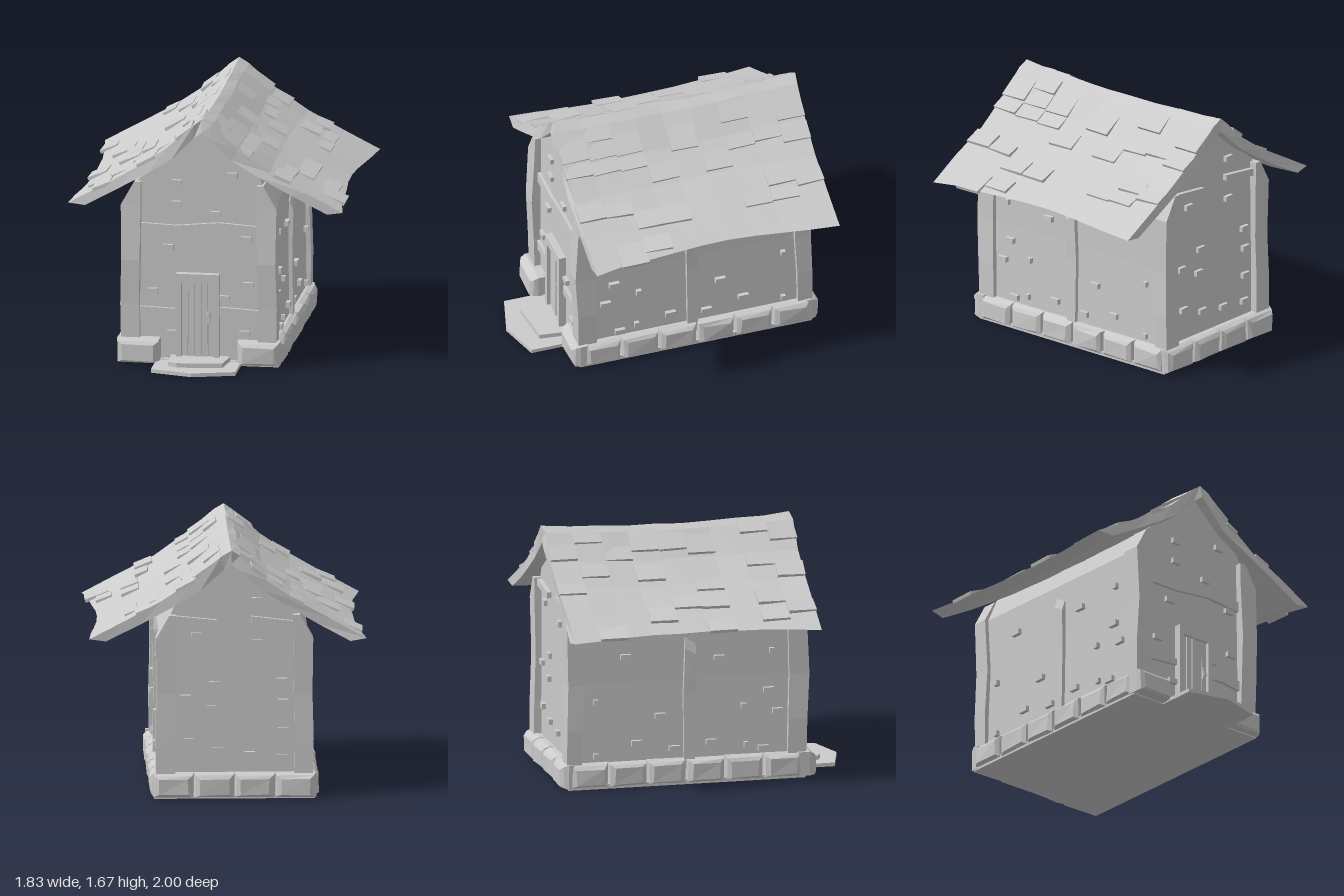
import * as THREE from 'three';

const mat = new THREE.MeshStandardMaterial({ color: 0xcccccc, flatShading: true });

let seed = 7;
const jit = (a) => {
  seed = (seed * 16807) % 2147483647;
  return (seed / 2147483647 - 0.5) * 2 * a;
};

function add(parent, name, geo) {
  const m = new THREE.Mesh(geo, mat);
  m.name = name;
  parent.add(m);
  return m;
}

// Skins a list of equal rings ([x, y, z] points, counter-clockwise seen from the far end) and caps both ends
function loft(rings) {
  const v = [];
  const quad = (a, b, c, d) => v.push(...a, ...b, ...c, ...a, ...c, ...d);
  const n = rings[0].length;
  for (let k = 0; k < rings.length - 1; k++) {
    const a = rings[k], b = rings[k + 1];
    for (let i = 0; i < n; i++) {
      const j = (i + 1) % n;
      quad(a[i], a[j], b[j], b[i]);
    }
  }
  const f = rings[0], l = rings[rings.length - 1];
  for (let i = 0; i < n / 2 - 1; i++) {
    quad(l[i], l[i + 1], l[n - 2 - i], l[n - 1 - i]);
    quad(f[n - 1 - i], f[n - 2 - i], f[i + 1], f[i]);
  }
  const g = new THREE.BufferGeometry();
  g.setAttribute('position', new THREE.Float32BufferAttribute(v, 3));
  g.computeVertexNormals();
  return g;
}

// Horizontal ring for things lofted upwards
const flatRing = (xa, xb, za, zb, y) => {
  const x0 = Math.min(xa, xb), x1 = Math.max(xa, xb);
  const z0 = Math.min(za, zb), z1 = Math.max(za, zb);
  return [[x0, y, z1], [x1, y, z1], [x1, y, z0], [x0, y, z0]];
};

function box(parent, name, w, h, d, x, y, z) {
  const m = add(parent, name, new THREE.BoxGeometry(w, h, d));
  m.position.set(x, y, z);
  return m;
}

// Beam along x from a list of [x, bottom, top]
const beam = (pts, z0, z1) =>
  loft(pts.map(([x, b, t]) => [[x, b, z1], [x, b, z0], [x, t, z0], [x, t, z1]]));

// Polygon in plan [x, z], raised from y0 by h
function slab(pts, y0, h) {
  const g = new THREE.ExtrudeGeometry(
    new THREE.Shape(pts.map(([x, z]) => new THREE.Vector2(x, -z))), { depth: h, bevelEnabled: false });
  return g.rotateX(-Math.PI / 2).translate(0, y0, 0);
}

// Rough block with a bevelled outer face, facing +z
function stoneGeometry(w, depth) {
  const ring = (ix, iy, z, j) => [[-1, 0], [1, 0], [1, 1], [-1, 1]].map(([sx, t]) => [
    sx * (w / 2 - ix) + jit(j), (t ? 0.172 - iy : 0.01 + iy * 0.6) + jit(j), z + jit(j)]);
  return loft([ring(0.002, 0, 0, 0), ring(0.002, 0, depth - 0.05, 0.003),
    ring(0.012, 0.012, depth - 0.018, 0.004), ring(0.04, 0.035, depth, 0.005)]);
}

// Roof half profile: distance from ridge and height, outside and underside
const outD = [0, 0.06, 0.24, 0.45, 0.68, 0.91], outY = [1.665, 1.63, 1.468, 1.325, 1.197, 1.075];
const inD = [0, 0.05, 0.2, 0.36, 0.58, 0.8], inY = [1.58, 1.535, 1.4, 1.3, 1.174, 1.06];
const Z0 = -0.985, Z1 = 0.695, RIDGE = -0.03;
const bow = (z) => 1 - Math.pow((z - (Z0 + Z1) / 2) / 0.84, 2);
function roofPoint(s, d, y, z) {
  const k = d / 0.91;
  const span = (s > 0 ? 0.945 : 0.885) / 0.91;
  return [RIDGE + s * d * span * (1 - 0.08 * bow(z)), y - bow(z) * (0.033 * (1 - k) - 0.015 * k), z];
}
function roofHeight(x, z) {
  const s = x > RIDGE ? 1 : -1;
  for (let i = 0; i < 5; i++) {
    const a = roofPoint(s, outD[i], outY[i], z), b = roofPoint(s, outD[i + 1], outY[i + 1], z);
    if (Math.abs(x - RIDGE) <= Math.abs(b[0] - RIDGE) || i === 4)
      return a[1] + (b[1] - a[1]) * (x - a[0]) / (b[0] - a[0]);
  }
}

function buildRoof(parent) {
  const rows = [];
  for (let r = 0; r <= 9; r++) {
    const z = Z0 + (Z1 - Z0) * r / 9;
    const ring = [];
    const put = (s, D, Y, i) => {
      const p = roofPoint(s, D[i], Y[i], z);
      ring.push([p[0] + jit(i ? 0.008 : 0.004), p[1] + jit(0.004), z + (r % 9 ? 0 : jit(0.012))]);
    };
    for (let i = 5; i >= 0; i--) put(1, outD, outY, i);
    for (let i = 1; i <= 5; i++) put(-1, outD, outY, i);
    for (let i = 5; i >= 0; i--) put(-1, inD, inY, i);
    for (let i = 1; i <= 5; i++) put(1, inD, inY, i);
    rows.push(ring);
  }
  add(parent, 'roof', loft(rows));

  // Raised shingles: for each row, pairs of x limits
  const shingles = [
    [-0.5, -0.42, -0.25, -0.16, 0.04, 0.2, 0.22, 0.33, 0.5, 0.6],
    [-0.89, -0.78, -0.37, -0.28, -0.15, -0.05, 0.2, 0.28, 0.44, 0.56, 0.58, 0.66],
    [-0.25, -0.17, 0.04, 0.14, 0.22, 0.29, 0.58, 0.66],
    [-0.75, -0.62, -0.4, -0.28, -0.2, -0.07, 0.27, 0.385],
    [-0.64, -0.53, -0.2, -0.07, 0.1, 0.23],
    [-0.86, -0.74, -0.65, -0.52, -0.5, -0.42, -0.23, -0.12, 0.28, 0.385, 0.55, 0.66],
    [0.09, 0.2, 0.21, 0.29, 0.55, 0.66, 0.72, 0.82],
    [-0.8, -0.67, -0.65, -0.52, -0.35, -0.25, -0.14, -0.04, 0.03, 0.11, 0.12, 0.2, 0.21, 0.29, 0.48, 0.56, 0.74, 0.89],
    [-0.75, -0.64, -0.45, -0.34, -0.2, -0.1, 0.08, 0.2, 0.21, 0.29, 0.45, 0.56],
  ];
  shingles.forEach((row, r) => {
    const z = Z0 + (Z1 - Z0) * (r + 0.5) / 9;
    for (let i = 0; i < row.length; i += 2) {
      const xa = row[i], xb = row[i + 1];
      const ya = roofHeight(xa, z), yb = roofHeight(xb, z);
      const m = box(parent, 'shingle', Math.hypot(xb - xa, yb - ya), 0.022, 0.185,
        (xa + xb) / 2, (ya + yb) / 2 + 0.001, z);
      // lower end kicks up a little
      m.rotation.set(jit(0.025), jit(0.06), Math.atan2(yb - ya, xb - xa) + (xa > RIDGE ? 0.1 : -0.1));
    }
  });
}

function buildDoor(parent) {
  const door = new THREE.Group();
  door.name = 'door';
  parent.add(door);
  for (const x of [-0.132, 0.118]) box(door, 'doorJamb', 0.036, 0.56, 0.1, x, 0.335, 0.63);
  box(door, 'doorLintel', 0.286, 0.06, 0.1, -0.007, 0.585, 0.63);
  for (let i = 0; i < 5; i++)
    box(door, 'doorPlank', 0.04, 0.5, 0.04, -0.094 + i * 0.044, 0.305, 0.635 + jit(0.008)).rotation.z = jit(0.006);
  box(door, 'handlePlate', 0.018, 0.09, 0.012, 0.068, 0.325, 0.665);
  box(door, 'handle', 0.016, 0.05, 0.016, 0.066, 0.33, 0.678).rotation.z = 0.3;
}

export function createModel() {
  const root = new THREE.Group();
  root.name = 'cottage';
  buildRoof(root);

  const house = new THREE.Group();
  house.name = 'house';
  house.position.x = -0.05;
  root.add(house);

  // Gabled walls, leaning inwards under the eaves
  const gable = [[-0.49, 0.02], [0.49, 0.02], [0.484, 0.7], [0.49, 1.07], [0.42, 1.22], [0.39, 1.295], [0.23, 1.4],
    [0.02, 1.585], [-0.17, 1.41], [-0.32, 1.315], [-0.42, 1.22], [-0.49, 1.07], [-0.484, 0.7]];
  add(house, 'walls', new THREE.ExtrudeGeometry(
    new THREE.Shape(gable.map(([x, y]) => new THREE.Vector2(x, y))),
    { depth: 1.53, bevelEnabled: false }).translate(0, 0, -0.9));

  // Floor and entrance steps
  box(house, 'floor', 1.06, 0.03, 1.6, 0, 0.015, -0.14);
  add(house, 'lowerStep', slab([[-0.28, 0.6], [-0.28, 0.92], [0, 1], [0.28, 0.92], [0.28, 0.6]], 0, 0.025));
  add(house, 'upperStep', slab([[-0.19, 0.6], [-0.18, 0.83], [-0.12, 0.86], [0.18, 0.83], [0.21, 0.6]], 0.025, 0.03));
  buildDoor(house);

  for (const s of [-1, 1]) {
    // Corner posts: height, outer x, inner x, outer offset in z
    const rows = [[0.1, 0.515, 0.39, 0], [0.4, 0.52, 0.395, 0.006], [0.7, 0.512, 0.39, 0.022],
      [1.07, 0.517, 0.385, 0.004], [1.225, 0.43, 0.385, 0]];
    add(house, 'frontPost', loft(rows.map(([y, o, i, z]) => flatRing(s * o, s * i, 0.545 + z * 0.5, 0.67 + z, y))));
    add(house, 'backPost', loft(rows.map(([y, o, i, z]) => flatRing(s * o, s * i, -0.85 + z, -0.95 + z * 0.5, y))));

    // Side post with a slanted, chamfered top
    const foot = flatRing(s * 0.46, s * 0.515, -0.155, -0.085, 0.1);
    const mid = flatRing(s * 0.46, s * 0.51, -0.16, -0.08, 0.6);
    const neck = flatRing(s * 0.46, s * 0.518, -0.15, -0.075, 0.87);
    const head = flatRing(s * 0.46, s * 0.495, -0.15, -0.075, 0.94);
    for (const p of [...neck, ...head]) if (p[2] < -0.1) p[1] += 0.045;
    add(house, 'sidePost', loft([foot, mid, neck, head]));

    // Foundation stones
    for (let i = 0; i < 6; i++) {
      const m = add(house, 'sideStone', stoneGeometry(0.262, 0.17));
      m.position.set(s * 0.383, 0, 0.51 - i * 0.262);
      m.rotation.y = s * Math.PI / 2;
    }
    add(house, 'frontStone', stoneGeometry(0.285, s > 0 ? 0.1 : 0.125)).position.set(s * 0.398, 0, 0.615);

    // Small bricks on the long walls: z, y, length
    for (const [z, y, w] of [[0.44, 0.865, 0.03], [0.085, 0.835, 0.07], [-0.55, 0.875, 0.07], [0.42, 0.6, 0.07],
      [0.48, 0.455, 0.07], [0.25, 0.5, 0.035], [-0.315, 0.465, 0.07], [-0.75, 0.58, 0.03], [0.265, 0.24, 0.03],
      [0.38, 0.21, 0.07], [0.03, 0.27, 0.07], [-0.22, 0.24, 0.07], [-0.475, 0.29, 0.07], [-0.75, 0.215, 0.03]])
      box(house, 'sideBrick', 0.05, 0.036, w, s * 0.49, y, z);
  }
  for (let i = 0; i < 4; i++) {
    const m = add(house, 'backStone', stoneGeometry(0.268, 0.085));
    m.position.set(-0.402 + i * 0.268, 0, -0.905);
    m.rotation.y = Math.PI;
  }

  // Timber beams on the gable walls
  add(house, 'upperBeam', beam([[-0.4, 0.87, 0.945], [-0.15, 0.87, 0.935], [0.13, 0.898, 0.962], [0.4, 0.875, 0.945]], 0.6, 0.652));
  add(house, 'lowerBeamRight', beam([[-0.4, 0.31, 0.38], [-0.145, 0.33, 0.37]], 0.6, 0.652));
  add(house, 'lowerBeamLeft', beam([[0.13, 0.32, 0.39], [0.25, 0.325, 0.385], [0.4, 0.305, 0.375]], 0.6, 0.652));
  add(house, 'backBeamLeft', beam([[0.11, 1.15, 1.19], [0.4, 1.175, 1.22]], -0.93, -0.88));
  add(house, 'backBeamRight', beam([[-0.4, 1.13, 1.18], [-0.11, 1.175, 1.215]], -0.93, -0.88));

  // Small bricks on the gable walls
  const bricks = (name, z, list) => list.forEach(([x, y]) => box(house, name, 0.068, 0.036, 0.05, x + 0.05, y, z));
  bricks('frontBrick', 0.63, [[-0.2, 1.225], [0.17, 1.285], [-0.2, 1.08], [0.055, 1.02], [0.26, 0.855], [-0.255, 0.785],
    [0.275, 0.545], [-0.36, 0.485], [0.115, 0.45], [-0.23, 0.205], [0.25, 0.215]]);
  bricks('backBrick', -0.9, [[0.2, 1.09], [-0.2, 1.04], [0.27, 0.67], [0.08, 0.76], [0.1, 0.6], [-0.36, 0.78], [-0.37, 0.64],
    [0.25, 0.38], [0.06, 0.32], [-0.37, 0.45], [-0.15, 0.29], [-0.36, 0.27], [-0.2, 1.32]]);

  return root;
}
